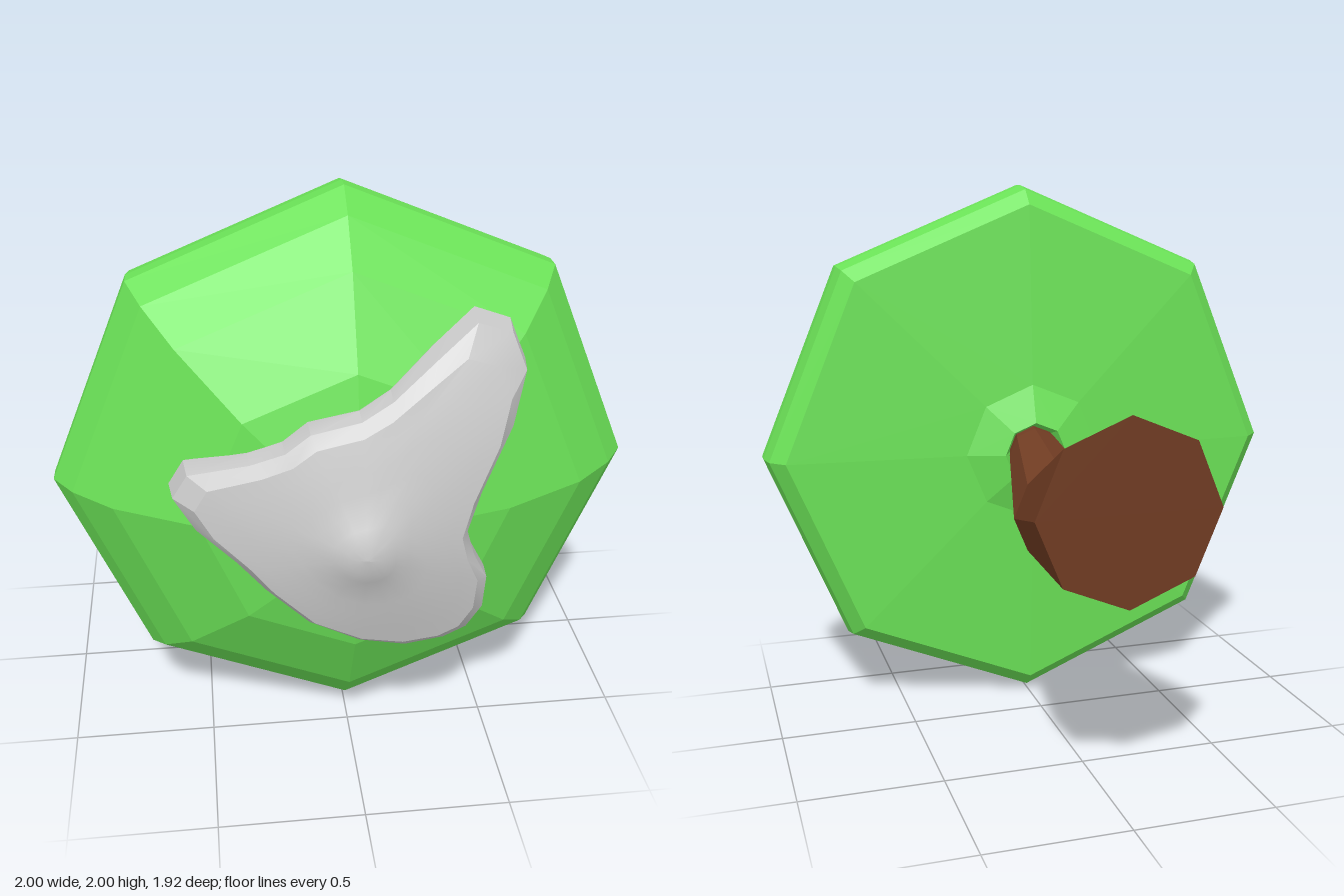
import * as THREE from 'three';
import { toCreasedNormals } from 'three/addons/utils/BufferGeometryUtils.js';

const SIDES = 8;

// Skins a list of rings (equal length, counter-clockwise seen from +z, ordered back to front).
function skin(rings, capStart, capEnd) {
  const n = rings[0].length, pos = rings.flat().flat(), index = [];
  for (let k = 0; k < rings.length - 1; k++) {
    for (let i = 0; i < n; i++) {
      const a = k * n + i, b = k * n + (i + 1) % n;
      index.push(a, b, b + n, a, b + n, a + n);
    }
  }
  const last = (rings.length - 1) * n;
  for (let i = 1; i < n - 1; i++) {
    if (capStart) index.push(0, i + 1, i);
    if (capEnd) index.push(last, last + i, last + i + 1);
  }
  const g = new THREE.BufferGeometry();
  g.setAttribute('position', new THREE.Float32BufferAttribute(pos, 3));
  g.setIndex(index);
  return g;
}

// Piecewise linear lookup in [x, y] pairs
function lookup(table, x) {
  for (let i = 1; i < table.length; i++) {
    const [x0, y0] = table[i - 1], [x1, y1] = table[i];
    if (x <= x1) return y0 + (y1 - y0) * (x - x0) / (x1 - x0);
  }
  return table[table.length - 1][1];
}

const DOME = [[0, 0.83], [0.51, 0.70], [0.79, 0.555], [0.93, 0.43], [1, 0.33]];

// Height of the faceted dome at a polar position
function domeHeight(r, angle) {
  const step = Math.PI * 2 / SIDES;
  const off = ((angle % step) + step) % step - step / 2;
  return lookup(DOME, r * Math.cos(off) / Math.cos(step / 2));
}

function makeCanopy() {
  const back = [[0, 0.16], [0.085, 0.13], [0.12, 0.06], [0.26, 0.105], [0.93, 0.145], [0.985, 0.20], [1, 0.27]];
  const profile = [...back, ...DOME.slice().reverse()].map(([r, z]) => new THREE.Vector2(r, z));
  const g = new THREE.LatheGeometry(profile, SIDES);
  g.rotateX(Math.PI / 2);
  g.translate(0, 1, 0);
  return g;
}

function makeTrunk() {
  // [centre x, centre y, z, radius]
  const sections = [[0.01, 1.025, -0.96, 0.305], [0.005, 0.84, -0.25, 0.172], [0.005, 1.0, 0.06, 0.1], [0, 1.03, 0.14, 0.08]];
  const rings = sections.map(([x, y, z, r]) => Array.from({ length: SIDES }, (_, i) => {
    const a = i / SIDES * Math.PI * 2;
    return [x + r * Math.cos(a), y + r * Math.sin(a), z];
  }));
  return skin(rings, true, true);
}

function makeSnow() {
  // three-lobed outline, clockwise from the upper lobe
  const outline = [
    [0.39, 1.655], [0.51, 1.61], [0.555, 1.49], [0.5, 1.33], [0.39, 1.13], [0.345, 1.0], [0.375, 0.9],
    [0.43, 0.79], [0.43, 0.65], [0.38, 0.56], [0.3, 0.53], [0.16, 0.53], [0, 0.58], [-0.17, 0.68],
    [-0.31, 0.82], [-0.4, 0.92], [-0.53, 1.03], [-0.6, 1.13], [-0.55, 1.215], [-0.35, 1.27],
    [-0.24, 1.31], [-0.16, 1.37], [0, 1.405], [0.1, 1.46], [0.25, 1.57],
  ].reverse();
  const polar = outline.map(([x, y]) => [Math.hypot(x, y - 1), Math.atan2(y - 1, x)]);
  const top = [[0, 0.96], [0.06, 0.95], [0.15, 0.91], [0.3, 0.87], [0.5, 0.81], [0.62, 0.755], [0.78, 0.66]];
  const ring = (t, height) => polar.map(([R, a]) => {
    const r = t * (0.4 + (R - 0.4) * t);
    return [r * Math.cos(a), 1 + r * Math.sin(a), height(r, a)];
  });
  const rings = [
    ring(0.97, (r, a) => domeHeight(r, a) - 0.03),
    ring(1, (r, a) => domeHeight(r, a) + 0.01),
    ring(0.985, (r) => lookup(top, r) - 0.035),
  ];
  for (const t of [0.9, 0.78, 0.64, 0.5, 0.36, 0.24, 0.14, 0.06]) {
    rings.push(ring(t, (r) => lookup(top, r)));
  }
  rings.push(ring(0.001, () => 0.96));
  return toCreasedNormals(skin(rings, false, false), 0.4);
}

export function createModel() {
  const model = new THREE.Group();
  const add = (name, geometry, color, flatShading, side = THREE.FrontSide) => {
    const mesh = new THREE.Mesh(geometry, new THREE.MeshStandardMaterial({ color, flatShading, side }));
    mesh.name = name;
    model.add(mesh);
  };
  add('canopy', makeCanopy(), 0x6be257, true);
  add('trunk', makeTrunk(), 0x6f3b22, true);
  add('snowCap', makeSnow(), 0xcccccc, false, THREE.DoubleSide);
  return model;
}
